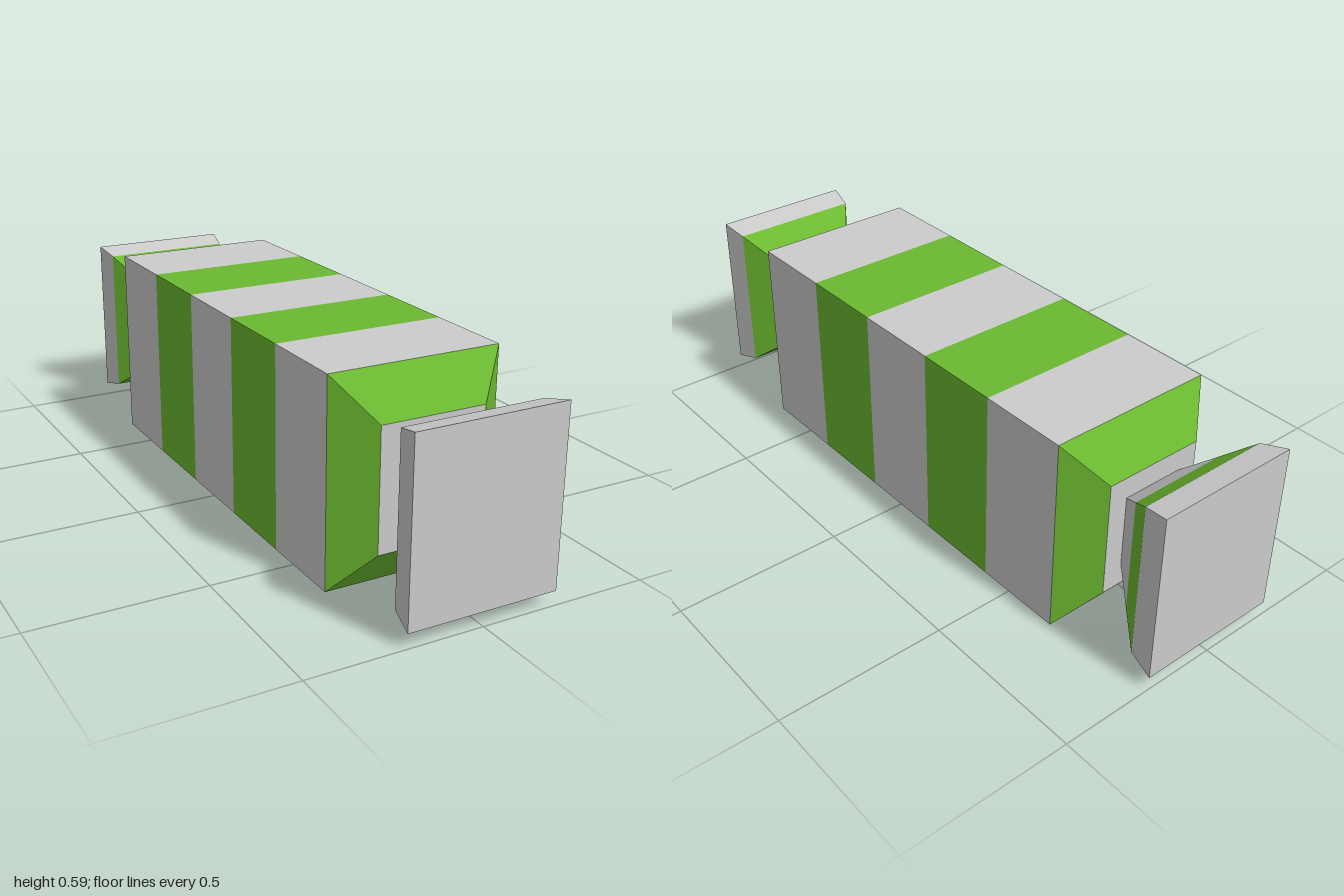
import * as THREE from 'three';

const MID = 0.295; // height of the long axis
const grey = new THREE.MeshStandardMaterial({ color: 0xcccccc, flatShading: true });
const green = new THREE.MeshStandardMaterial({ color: 0x6bb830, flatShading: true });
const CORNERS = [[1, -1], [1, 1], [-1, 1], [-1, -1]];

// Open four-sided band between two rectangular sections [z, halfWidth, halfHeight], back to front
function band(a, b) {
  const ring = ([z, w, h]) => CORNERS.map(([x, y]) => [x * w, MID + y * h, z]);
  const p = ring(a), q = ring(b), pos = [];
  for (let i = 0; i < 4; i++) {
    const j = (i + 1) % 4;
    pos.push(...p[i], ...p[j], ...q[j], ...p[i], ...q[j], ...q[i]);
  }
  const g = new THREE.BufferGeometry();
  g.setAttribute('position', new THREE.Float32BufferAttribute(pos, 3));
  g.computeVertexNormals();
  return g;
}

// Flat end face looking along +z or -z
function endFace([z, w, h], dir) {
  const g = new THREE.PlaneGeometry(2 * w, 2 * h);
  if (dir < 0) g.rotateY(Math.PI);
  return g.translate(0, MID, z);
}

export function createModel() {
  const group = new THREE.Group();
  const add = (name, geometry, material) => {
    const mesh = new THREE.Mesh(geometry, material);
    mesh.name = name;
    group.add(mesh);
  };

  // Striped block in the middle
  const stops = [-0.67, -0.4, -0.135, 0.135, 0.4, 0.67];
  for (let i = 0; i < 5; i++) {
    add('bodyStripe' + (i + 1),
      band([stops[i], 0.255, 0.295], [stops[i + 1], 0.255, 0.295]), i % 2 ? green : grey);
  }

  // Mirrored ends: chamfer, end face, and flared wrapper twist
  for (const s of [1, -1]) {
    const side = s > 0 ? 'front' : 'back';
    const part = (name, inner, outer, material) => {
      const a = [s * inner[0], inner[1], inner[2]], b = [s * outer[0], outer[1], outer[2]];
      add(side + name, s > 0 ? band(a, b) : band(b, a), material);
    };
    const shoulder = [0.76, 0.155, 0.175];
    const neck = [0.76, 0.095, 0.11], middle = [0.84, 0.15, 0.172];
    const flare = [0.92, 0.205, 0.235], tip = [1, 0.22, 0.254];
    part('Chamfer', [0.67, 0.255, 0.295], shoulder, green);
    add(side + 'BodyEnd', endFace([s * 0.76, 0.155, 0.175], s), grey);
    part('TwistNeck', neck, middle, grey);
    part('TwistStripe', middle, flare, green);
    part('TwistRim', flare, tip, grey);
    add(side + 'TwistEnd', endFace([s * 1, 0.22, 0.254], s), grey);
  }
  return group;
}
